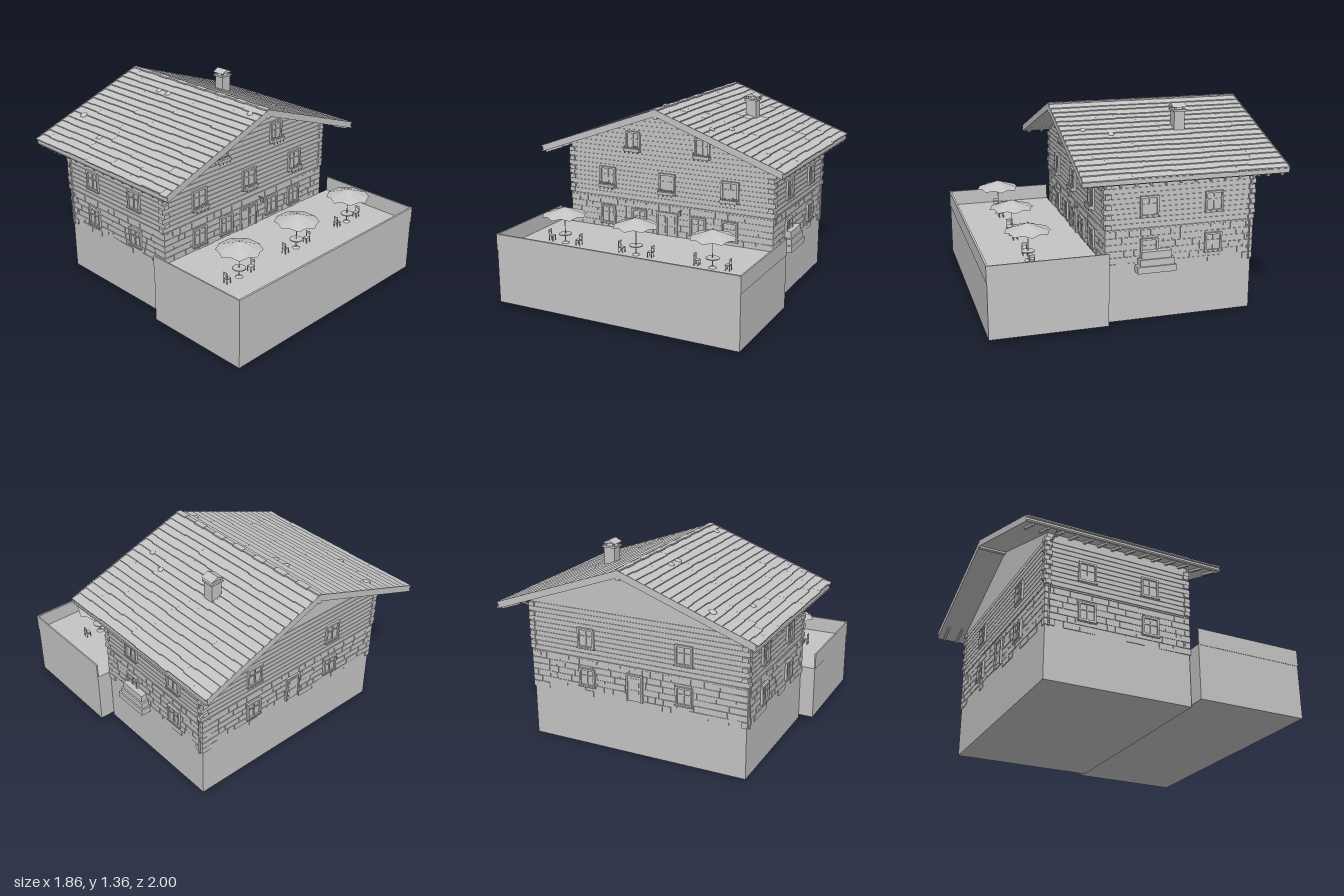
import * as THREE from 'three';

const grey = new THREE.MeshStandardMaterial({ color: 0xc4c4c4, side: THREE.DoubleSide });
grey.name = 'light grey';

const SLOPE = 0.3587, ANGLE = Math.atan(SLOPE), RIDGE = 1.318, DECK = 0.032;
const EAVE = 0.915, ROOF_FRONT = 0.396, ROOF_BACK = -0.998;
const WALL = 0.79, FRONT = 0.21, BACK = -0.805, MID = (FRONT + BACK) / 2;
const underside = x => RIDGE - DECK - SLOPE * Math.abs(x);

let seed = 7;
const rand = (a = 0, b = 1) => {
  seed = (seed * 16807) % 2147483647;
  return a + (b - a) * seed / 2147483647;
};

function add(parent, name, geometry, x = 0, y = 0, z = 0) {
  const mesh = new THREE.Mesh(geometry, grey);
  mesh.name = name;
  mesh.position.set(x, y, z);
  parent.add(mesh);
  return mesh;
}
const box = (p, name, w, h, d, x, y, z) => add(p, name, new THREE.BoxGeometry(w, h, d), x, y, z);

function group(parent, name, x = 0, y = 0, z = 0, turn = 0) {
  const g = new THREE.Group();
  g.name = name;
  g.position.set(x, y, z);
  g.rotation.y = turn;
  parent.add(g);
  return g;
}

const polygon = pts => new THREE.Shape(pts.map(p => new THREE.Vector2(...p)));
const extrude = (shape, depth) => new THREE.ExtrudeGeometry(shape, { depth, bevelEnabled: false });

// Framed casement with glazing bars and a sill; y is its lower edge
function windowUnit(wall, x, y, w = 0.125, h = 0.14) {
  const g = group(wall, 'window', x, y);
  const a = w / 2, t = 0.013;
  const frame = polygon([[-a, 0], [a, 0], [a, h], [-a, h]]);
  frame.holes.push(polygon([[-a + t, t], [-a + t, h - t], [a - t, h - t], [a - t, t]]));
  add(g, 'windowFrame', extrude(frame, 0.02));
  box(g, 'windowPane', w - t, h - t, 0.004, 0, h / 2, 0.007);
  box(g, 'windowPost', 0.009, h - t, 0.006, 0, h / 2, 0.012);
  box(g, 'windowBar', w - t, 0.006, 0.006, 0, h * 0.6, 0.012);
  box(g, 'windowSill', w + 0.01, 0.008, 0.024, 0, 0, 0.012);
}

function flowerBox(wall, x, y) {
  const g = group(wall, 'flowerBox', x, y, 0.03);
  box(g, 'planter', 0.125, 0.022, 0.025, 0, 0, 0);
  for (let i = 0; i < 9; i++) {
    add(g, 'flowers', new THREE.IcosahedronGeometry(rand(0.006, 0.01), 0),
      -0.056 + i * 0.014, rand(0.01, 0.024), rand(-0.008, 0.008));
  }
  for (let i = 0; i < 4; i++) box(g, 'trailingLeaf', 0.006, 0.016, 0.006, -0.05 + i * 0.033, -0.014, 0.013);
}

// Door leaves inside a raised frame, standing on y
function door(wall, x, y, w, h, leaves) {
  const g = group(wall, 'door', x, y);
  for (const s of [-1, 1]) box(g, 'doorPost', 0.012, h, 0.018, s * w / 2, h / 2, 0.009);
  box(g, 'doorLintel', w + 0.012, 0.012, 0.018, 0, h, 0.009);
  const lw = w / leaves;
  for (let i = 0; i < leaves; i++) {
    const cx = (i + 0.5) * lw - w / 2;
    box(g, 'doorLeaf', lw - 0.004, h, 0.008, cx, h / 2, 0.006);
    for (const v of [0.28, 0.72]) box(g, 'doorPanel', lw * 0.6, h * 0.32, 0.004, cx, h * v, 0.011);
  }
}

// Stone courses below and boards above on one wall face
function cladding(wall, width, top, gable) {
  const half = width / 2, course = 0.044;
  for (let r = 0; r < 6; r++) {
    for (let x = -half; x < half - 0.001;) {
      const len = Math.min(rand(0.05, 0.15), half - x);
      if (r > 0 || rand() > 0.45) {
        box(wall, 'stone', len - 0.004, course - 0.004, rand(0.006, 0.012), x + len / 2, 0.378 + r * course, 0);
      }
      x += len;
    }
  }
  box(wall, 'floorBeam', width + 0.01, 0.01, 0.016, 0, 0.625, 0);
  for (let y = 0.633; y < top; y += 0.034) {
    const reach = gable ? Math.min(half, (RIDGE - DECK - y - 0.034) / SLOPE) : half;
    if (reach > 0.02) box(wall, 'wallBoard', reach * 2, 0.03, 0.01, 0, y + 0.017, 0);
  }
}

function buildHouse(root) {
  const house = group(root, 'house');
  const shell = polygon([[-WALL, 0], [WALL, 0], [WALL, underside(WALL)], [0, underside(0)], [-WALL, underside(WALL)]]);
  add(house, 'walls', extrude(shell, FRONT - BACK), 0, 0, BACK);

  const front = group(house, 'frontWall', 0, 0, FRONT);
  cladding(front, WALL * 2, 1.26, true);
  for (const x of [-0.27, 0.27]) { windowUnit(front, x, 0.99, 0.115, 0.14); flowerBox(front, x, 1.0); }
  for (const x of [-0.48, 0, 0.48]) { windowUnit(front, x, 0.705, 0.13, 0.148); flowerBox(front, x, 0.715); }
  for (const x of [-0.48, -0.225, 0.24, 0.48]) windowUnit(front, x, 0.43, 0.12, 0.137);
  door(front, 0, 0.4, 0.15, 0.165, 2);
  box(front, 'lanternArm', 0.006, 0.006, 0.04, 0.11, 0.6, 0.02);
  box(front, 'lantern', 0.016, 0.03, 0.016, 0.11, 0.582, 0.036);

  const back = group(house, 'backWall', 0, 0, BACK, Math.PI);
  cladding(back, WALL * 2, 0.96, false);
  for (const x of [-0.36, 0.36]) { windowUnit(back, x, 0.705); windowUnit(back, x, 0.43, 0.12, 0.13); }
  door(back, 0, 0.39, 0.11, 0.185, 1);

  for (const s of [-1, 1]) {
    const side = group(house, s > 0 ? 'leftWall' : 'rightWall', s * WALL, 0, MID, s * Math.PI / 2);
    cladding(side, FRONT - BACK, 0.95, false);
    for (const u of [-0.218, 0.23]) {
      windowUnit(side, s * u, 0.705);
      windowUnit(side, s * u, 0.43, 0.12, 0.13);
    }
    // Interlocking log ends and corner stones
    for (const z of [FRONT, BACK]) {
      const dir = Math.sign(z);
      for (let i = 0; i < 10; i++) {
        const outX = i % 2 ? 0.008 : 0.018, outZ = 0.026 - outX;
        box(house, 'logEnd', 0.04, 0.03, 0.04, s * (WALL + outX - 0.02), 0.65 + i * 0.034, z + dir * (outZ - 0.02));
      }
      for (let i = 0; i < 6; i++) {
        const long = i % 2 ? 0.07 : 0.04;
        box(house, 'cornerStone', long, 0.04, 0.11 - long, s * (WALL + 0.007 - long / 2), 0.378 + i * 0.044,
          z + dir * (0.007 - (0.11 - long) / 2));
      }
    }
    add(house, 'downpipe', new THREE.CylinderGeometry(0.006, 0.006, 0.6, 8), s * (WALL + 0.012), 0.65, -0.785);
  }

  // Tapering stepped stack against the side wall
  const stack = group(house, 'stackedSteps', WALL);
  box(stack, 'lowerTier', 0.14, 0.045, 0.265, 0, 0.3625, -0.118);
  box(stack, 'middleTier', 0.12, 0.045, 0.235, 0, 0.4075, -0.122);
  box(stack, 'upperTier', 0.1, 0.05, 0.205, 0, 0.455, -0.122);
}

function buildRoof(root) {
  const roof = group(root, 'roof');
  const e = RIDGE - SLOPE * EAVE, length = ROOF_FRONT - ROOF_BACK, middle = (ROOF_FRONT + ROOF_BACK) / 2;
  // Chevron section, its upper face raised by lift
  const chevron = lift => polygon([[-EAVE, e - DECK], [0, RIDGE - DECK], [EAVE, e - DECK],
    [EAVE, e + lift], [0, RIDGE + lift], [-EAVE, e + lift]]);
  add(roof, 'roofDeck', extrude(chevron(0), length), 0, 0, ROOF_BACK);
  for (const z of [ROOF_BACK - 0.002, ROOF_FRONT - 0.004]) {
    add(roof, 'bargeBoard', extrude(chevron(0.016), 0.006), 0, 0, z);
  }
  box(roof, 'ridgeBeam', 0.026, 0.05, length, 0, RIDGE - 0.025, middle);

  // Rows of irregular overlapping shingles, with a lifted lower edge
  const run = EAVE / Math.cos(ANGLE), rows = 16, step = run / rows;
  for (const s of [-1, 1]) {
    const plane = group(roof, 'roofPlane', 0, RIDGE, 0);
    plane.rotation.z = -s * ANGLE;
    for (let r = 0; r < rows; r++) {
      for (let z = ROOF_BACK; z < ROOF_FRONT - 0.001;) {
        let len = rand(0.08, 0.28);
        if (z + len > ROOF_FRONT - 0.05) len = ROOF_FRONT - z;
        const extra = rand(0, 0.012);
        const tile = box(plane, 'shingle', step + extra, 0.009, len,
          s * ((r + 0.5) * step + extra / 2), 0.006, z + len / 2);
        tile.rotation.z = s * 0.12;
        z += len;
      }
    }
    // Rafter tails and gutter under the eaves
    for (let i = 0; i < 14; i++) {
      const tail = box(roof, 'rafterTail', 0.15, 0.016, 0.016, s * 0.845, underside(0.845) - 0.007, -0.95 + i * 0.1);
      tail.rotation.z = -s * ANGLE;
    }
    const gutter = add(roof, 'gutter', new THREE.CylinderGeometry(0.009, 0.009, length, 8, 1, true, -Math.PI / 2, Math.PI),
      s * 0.92, e - 0.022, middle);
    gutter.rotation.x = Math.PI / 2;
    const spout = box(roof, 'gutterSpout', 0.12, 0.01, 0.012, s * 0.862, 0.944, -0.785);
    spout.rotation.z = s * 0.18;
  }

  // Alternating ridge caps
  for (let i = 0; i < 14; i++) {
    box(roof, 'ridgeCap', i % 2 ? 0.04 : 0.026, 0.01, 0.097, 0, RIDGE + 0.013, ROOF_BACK + 0.05 + i * 0.0993);
  }
  // Stones weighing down the shingles
  for (const [x, z, r] of [[-0.585, -0.88, 0.027], [-0.71, -0.54, 0.02], [-0.145, -0.555, 0.022],
    [-0.145, -0.455, 0.023], [-0.08, 0.295, 0.021], [0.42, 0.065, 0.02], [0.35, 0.24, 0.02]]) {
    const stone = add(roof, 'roofStone', new THREE.SphereGeometry(r, 12, 8), x, RIDGE + 0.011 - SLOPE * Math.abs(x), z);
    stone.scale.y = 0.5;
    stone.rotation.z = x > 0 ? -ANGLE : ANGLE;
  }

  const chimney = group(roof, 'chimney', 0.375, 0, -0.42);
  box(chimney, 'chimneyStack', 0.08, 0.17, 0.075, 0, 1.225, 0);
  box(chimney, 'chimneyCollar', 0.1, 0.014, 0.095, 0, 1.312, 0);
  for (const x of [-1, 1]) for (const z of [-1, 1]) box(chimney, 'capPost', 0.012, 0.02, 0.012, x * 0.03, 1.327, z * 0.028);
  add(chimney, 'chimneyCap', extrude(polygon([[-0.052, 1.335], [0.052, 1.335], [0, 1.36]]), 0.1), 0, 0, -0.05);
}

// Eight-ribbed canopy whose hem rises between the ribs
function canopyGeometry() {
  const g = new THREE.ConeGeometry(0.155, 0.06, 16, 1, true), p = g.attributes.position;
  for (let i = 17; i < p.count; i++) {
    if ((i - 17) % 2) p.setXYZ(i, p.getX(i) * 0.924, p.getY(i) + 0.014, p.getZ(i) * 0.924);
  }
  g.computeVertexNormals();
  return g;
}

function chair(parent, x, z, turn) {
  const g = group(parent, 'chair', x, 0, z, turn);
  box(g, 'chairSeat', 0.036, 0.005, 0.036, 0, 0.036, 0);
  for (const a of [-1, 1]) {
    for (const b of [-1, 1]) box(g, 'chairLeg', 0.004, 0.036, 0.004, a * 0.015, 0.018, b * 0.015);
    box(g, 'chairBackPost', 0.004, 0.045, 0.004, a * 0.015, 0.058, -0.016);
  }
  box(g, 'chairBack', 0.036, 0.018, 0.004, 0, 0.072, -0.016);
}

function buildTerrace(root) {
  const terrace = group(root, 'terrace');
  const floor = 0.4, w = 0.896, z0 = 0.217, z1 = 1, t = 0.014;
  box(terrace, 'terraceBase', w * 2 - 0.006, floor - 0.02, z1 - z0 - 0.003, 0, (floor + 0.02) / 2, (z0 + z1 - 0.003) / 2);
  box(terrace, 'frontParapet', w * 2, 0.115, t, 0, floor + 0.0525, z1 - t / 2);
  for (const s of [-1, 1]) {
    box(terrace, 'sideParapet', 0.01, 0.115, z1 - z0 - t, s * (w - 0.005), floor + 0.0525, (z0 + z1 - t) / 2);
  }
  for (const x of [-0.56, 0, 0.56]) {
    const set = group(terrace, 'tableSet', x, floor, 0.67);
    add(set, 'parasolPole', new THREE.CylinderGeometry(0.003, 0.003, 0.265, 8), 0, 0.1325, 0);
    add(set, 'parasolCanopy', canopyGeometry(), 0, 0.228, 0);
    add(set, 'tableTop', new THREE.CylinderGeometry(0.045, 0.045, 0.006, 16), 0, 0.065, 0);
    add(set, 'tableFoot', new THREE.CylinderGeometry(0.012, 0.026, 0.012, 12), 0, 0.006, 0);
    for (const s of [-1, 1]) chair(set, s * 0.11, 0, -s * Math.PI / 2);
  }
}

export function createModel() {
  const root = new THREE.Group();
  root.name = 'mountainLodge';
  buildHouse(root);
  buildRoof(root);
  buildTerrace(root);
  return root;
}
